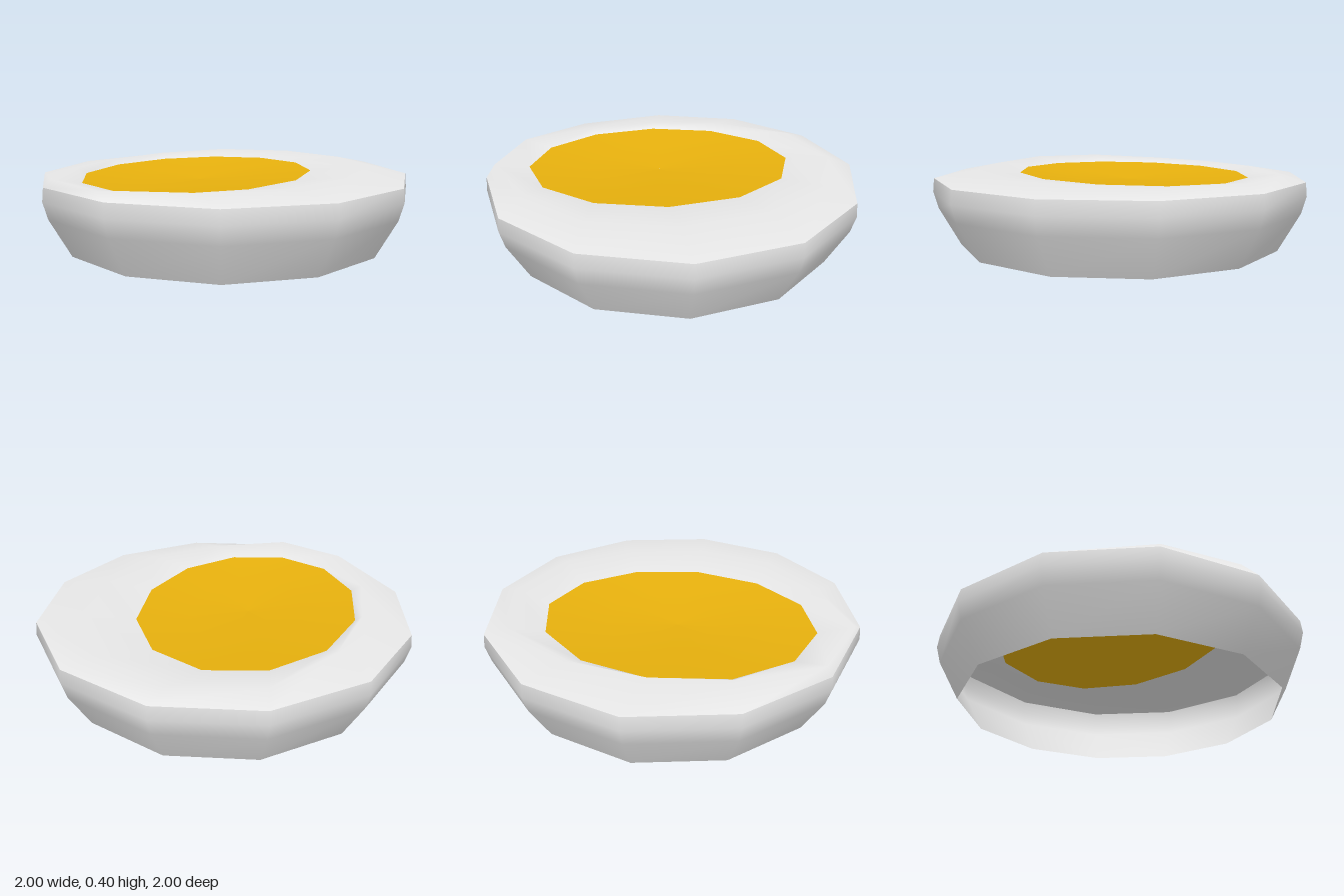
import * as THREE from 'three';

const SIDES = 12;
const ring = (fn) => Array.from({ length: SIDES }, (_, i) => fn((i / SIDES) * Math.PI * 2, i));
const ellipse = (cx, cz, rx, rz, y) => ring((a) => [cx + rx * Math.sin(a), y, cz + rz * Math.cos(a)]);

// Skin a stack of closed rings with smooth normals
function loft(rings) {
  const index = [];
  for (let i = 0; i < rings.length - 1; i++) {
    for (let j = 0; j < SIDES; j++) {
      const k = (j + 1) % SIDES;
      const a = i * SIDES + j, b = i * SIDES + k;
      index.push(a, b, b + SIDES, a, b + SIDES, a + SIDES);
    }
  }
  const geo = new THREE.BufferGeometry();
  geo.setAttribute('position', new THREE.Float32BufferAttribute(rings.flat(2), 3));
  geo.setIndex(index);
  geo.computeVertexNormals();
  return geo;
}

export function createModel() {
  const white = new THREE.MeshStandardMaterial({ color: 0xfafafa, side: THREE.DoubleSide });
  white.name = 'egg white';
  const yellow = new THREE.MeshStandardMaterial({ color: 0xf7bd0f, side: THREE.DoubleSide });
  yellow.name = 'yolk yellow';

  const group = new THREE.Group();
  const add = (name, geo, mat) => {
    const mesh = new THREE.Mesh(geo, mat);
    mesh.name = name;
    group.add(mesh);
  };

  // Tapered outer wall, open underneath
  const wall = [[0.865, 0], [0.975, 0.2], [1, 0.29], [0.993, 0.36]];
  add('outerWall', loft(wall.map(([r, y]) => ellipse(0, 0, r, r, y))), white);

  // Top face: rim, raised ridge, then a steep lip around the yolk
  const rim = ellipse(0, 0, 0.993, 0.993, 0.36);
  const lip = ellipse(-0.12, 0.06, 0.58, 0.72, 0.365);
  const ridge = ring((a, i) => {
    if (i === 0) return [-0.08, 0.4, 0.96];   // small raised edge at the front
    if (i === 11) return [-0.47, 0.4, 0.835];
    const t = [0, 0.45, 0.5, 0.5, 0.5, 0.6, 0.65, 0.6, 0.25, 0.12, 0.2][i];
    return [0, 1, 2].map((c) => (c === 1 ? 0.395 : lip[i][c] + (rim[i][c] - lip[i][c]) * t));
  });
  add('topFace', loft([rim, ridge, lip]), white);

  // Shallow sunken yolk
  add('yolk', loft([
    lip,
    ellipse(-0.12, 0.06, 0.32, 0.4, 0.34),
    ellipse(-0.12, 0.06, 0.001, 0.001, 0.325),
  ]), yellow);

  return group;
}
